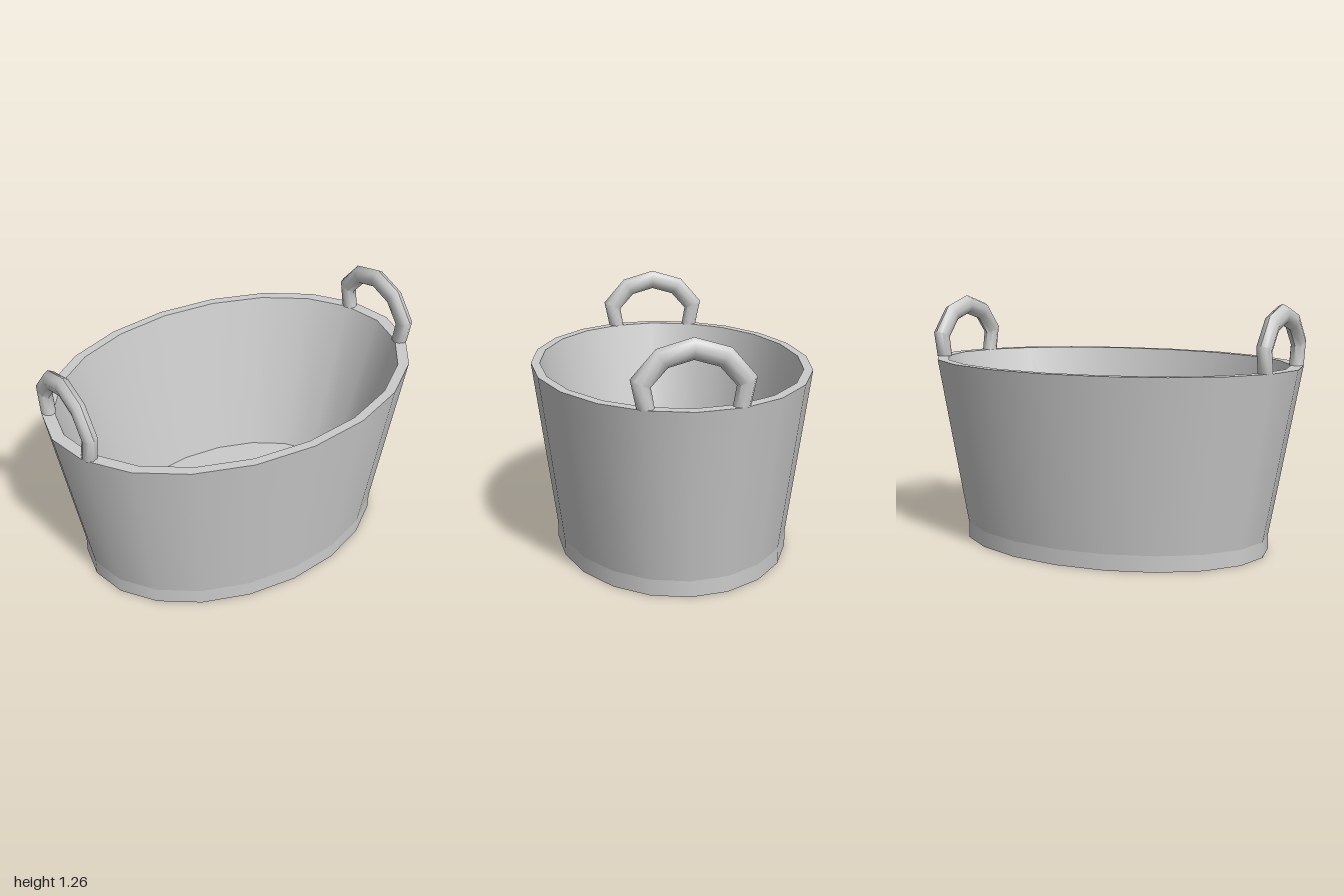
import * as THREE from 'three';
import { toCreasedNormals } from 'three/addons/utils/BufferGeometryUtils.js';

const SIDES = 20;      // facets around the oval tub
const OVAL = 0.711;    // depth / width of the oval
const material = new THREE.MeshStandardMaterial({ color: 0xcccccc });

function addMesh(parent, name, geometry) {
  const mesh = new THREE.Mesh(geometry, material);
  mesh.name = name;
  parent.add(mesh);
  return mesh;
}

// One oval band between two (radius, height) points; bands meet in sharp edges
function band(from, to) {
  const points = [from, to].map(([r, y]) => new THREE.Vector2(r, y));
  return new THREE.LatheGeometry(points, SIDES).scale(1, 1, OVAL);
}

// Bent grip in the yz plane: eight-sided rings spanning inner to outer outline
function handleGeometry() {
  const RING = 8, THICK = 0.038;
  // outer z, outer y, inner z, inner y
  const half = [
    [0.253, 0.94, 0.172, 0.94],
    [0.281, 1.075, 0.189, 1.037],
    [0.167, 1.207, 0.114, 1.122],
  ];
  const stations = [
    ...half,
    [0, 1.256, 0, 1.155],
    ...half.slice().reverse().map(([a, b, c, d]) => [-a, b, -c, d]),
  ];
  const rings = stations.map(([oz, oy, iz, iy]) => ({
    z: (oz + iz) / 2, y: (oy + iy) / 2, dz: (oz - iz) / 2, dy: (oy - iy) / 2, dx: THICK,
  }));
  // Close both feet with collapsed rings
  const closed = (r) => ({ ...r, dx: 0, dy: 0, dz: 0 });
  rings.unshift(closed(rings[0]));
  rings.push(closed(rings[rings.length - 1]));

  const positions = [], index = [];
  rings.forEach((r, i) => {
    for (let j = 0; j < RING; j++) {
      const a = (j / RING) * Math.PI * 2;
      const c = Math.cos(a), s = Math.sin(a);
      positions.push(r.dx * s, r.y + r.dy * c, r.z + r.dz * c);
      if (i === rings.length - 1) continue;
      const k = (j + 1) % RING;
      const p = i * RING + j, q = i * RING + k;
      index.push(p, q, p + RING, q, q + RING, p + RING);
    }
  });
  const geometry = new THREE.BufferGeometry();
  geometry.setAttribute('position', new THREE.Float32BufferAttribute(positions, 3));
  geometry.setIndex(index);
  // Make sure the faces point outward (positive enclosed volume)
  const v = (n) => new THREE.Vector3().fromArray(positions, n * 3);
  let volume = 0;
  for (let t = 0; t < index.length; t += 3) {
    volume += v(index[t]).dot(v(index[t + 1]).cross(v(index[t + 2])));
  }
  if (volume < 0) geometry.setIndex(index.reverse());
  return toCreasedNormals(geometry, 0.85);
}

export function createModel() {
  const model = new THREE.Group();
  model.name = 'ovalTub';

  // Closed tub profile: underside, foot, wall, rim, inside, floor
  const profile = [
    ['underside', [0, 0]],
    ['footBand', [0.838, 0]],
    ['outerWall', [0.838, 0.08]],
    ['rim', [1, 0.943]],
    ['innerWall', [0.937, 0.943]],
    ['floor', [0.683, 0.08]],
    ['end', [0, 0.08]],
  ];
  const tub = new THREE.Group();
  tub.name = 'tub';
  for (let i = 0; i < profile.length - 1; i++) {
    addMesh(tub, profile[i][0], band(profile[i][1], profile[i + 1][1]));
  }
  model.add(tub);

  // A grip standing on the rim at each end
  const grip = handleGeometry();
  for (const side of [1, -1]) {
    addMesh(model, side > 0 ? 'leftHandle' : 'rightHandle', grip).position.x = side * 0.915;
  }
  return model;
}
